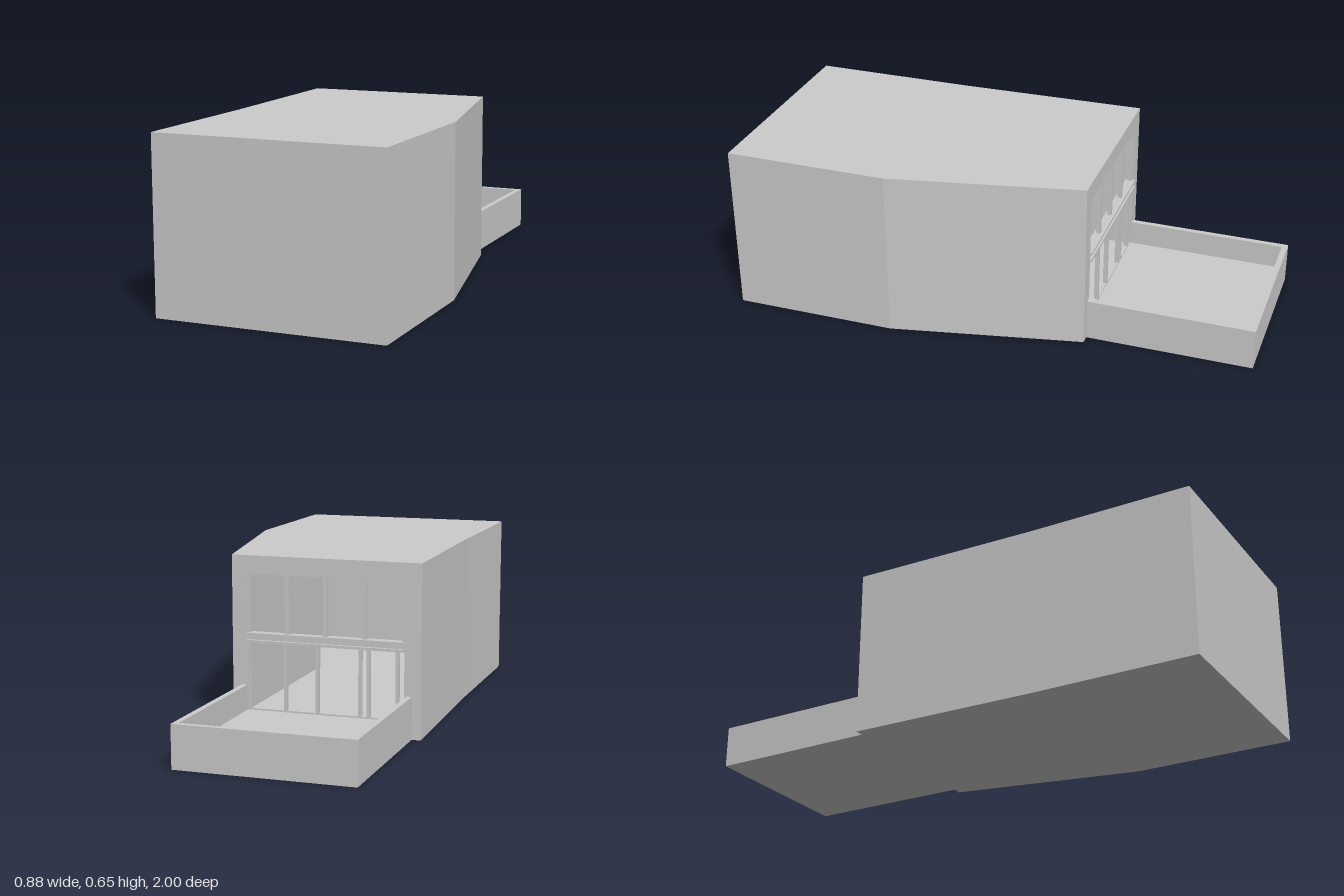
import * as THREE from 'three';

const material = new THREE.MeshStandardMaterial({ color: 0xcccccc });

export function createModel() {
  const model = new THREE.Group();
  const FLOOR = 0.064, CEILING = 0.583, TOP = 0.65, BACK = -0.36;
  const LEFT = 0.23, RIGHT = -0.378; // sides of the glazed opening

  // Box given by its limits on each axis
  const box = (name, x0, x1, y0, y1, z0, z1, parent = model) => {
    const mesh = new THREE.Mesh(new THREE.BoxGeometry(x1 - x0, y1 - y0, z1 - z0), material);
    mesh.position.set((x0 + x1) / 2, (y0 + y1) / 2, (z0 + z1) / 2);
    mesh.name = name;
    parent.add(mesh);
  };

  // Plan outline of [x, z] points raised from y0 to y1
  const slab = (name, plan, y0, y1) => {
    const shape = new THREE.Shape(plan.map(([x, z]) => new THREE.Vector2(x, -z)));
    const geometry = new THREE.ExtrudeGeometry(shape, { depth: y1 - y0, bevelEnabled: false });
    geometry.rotateX(-Math.PI / 2).translate(0, y0, 0);
    const mesh = new THREE.Mesh(geometry, material);
    mesh.name = name;
    model.add(mesh);
  };

  // Building shell: floor, walls around the room, roof
  const outline = [[0.29, BACK], [0.44, 0.37], [0.44, 1], [-0.425, 1], [-0.425, 0.37], [-0.442, BACK]];
  const room = [[RIGHT, BACK], [RIGHT, 0.94], [0.38, 0.94], [0.38, 0.46], [LEFT, 0.46], [LEFT, BACK]];
  slab('floorSlab', outline, 0, FLOOR);
  slab('walls', [...outline, ...room], FLOOR, CEILING);
  slab('roofSlab', outline, CEILING, TOP);

  // Ribs along the ceiling
  const ribs = new THREE.Group();
  ribs.name = 'ceilingRibs';
  model.add(ribs);
  const ribCount = 22, pitch = (LEFT - RIGHT) / ribCount;
  for (let i = 0; i < ribCount; i++) {
    const x = RIGHT + (i + 0.25) * pitch;
    box('ceilingRib', x, x + pitch / 2, CEILING - 0.01, CEILING, BACK + 0.03, 0.94, ribs);
  }

  // Glazing frame: beam between storeys, upper mullions, sliding door posts
  const frame = new THREE.Group();
  frame.name = 'windowFrame';
  model.add(frame);
  box('beamTopFlange', RIGHT - 0.004, LEFT + 0.004, 0.35, 0.36, BACK - 0.008, BACK + 0.03, frame);
  box('beamWeb', RIGHT, LEFT, 0.333, 0.35, BACK + 0.004, BACK + 0.02, frame);
  box('beamBottomFlange', RIGHT - 0.004, LEFT + 0.004, 0.323, 0.333, BACK - 0.008, BACK + 0.03, frame);
  for (let i = 0; i <= 4; i++) {
    const x = RIGHT + 0.005 + (i / 4) * (LEFT - RIGHT - 0.01);
    const half = i % 4 ? 0.008 : 0.005;
    box('upperMullion', x - half, x + half, 0.36, CEILING, BACK + 0.004, BACK + 0.02, frame);
  }
  for (const x of [0.225, 0.083, -0.042, -0.208, -0.24, -0.35]) {
    box('doorPost', x - 0.006, x + 0.006, FLOOR, 0.323, BACK + 0.004, BACK + 0.02, frame);
  }
  box('doorTrack', RIGHT, LEFT, FLOOR, FLOOR + 0.006, BACK + 0.004, BACK + 0.02, frame);

  // Terrace: deck with a parapet on three sides
  const terrace = new THREE.Group();
  terrace.name = 'terrace';
  model.add(terrace);
  const x0 = -0.408, x1 = 0.255, wall = 0.022, height = 0.16;
  box('terraceDeck', x0, x1, 0, FLOOR, -1, BACK, terrace);
  box('endParapet', x0, x1, FLOOR, height, -1, -1 + wall, terrace);
  box('rightParapet', x0, x0 + wall, FLOOR, height, -1 + wall, BACK, terrace);
  box('leftParapet', x1 - wall, x1, FLOOR, height, -1 + wall, BACK, terrace);

  return model;
}
